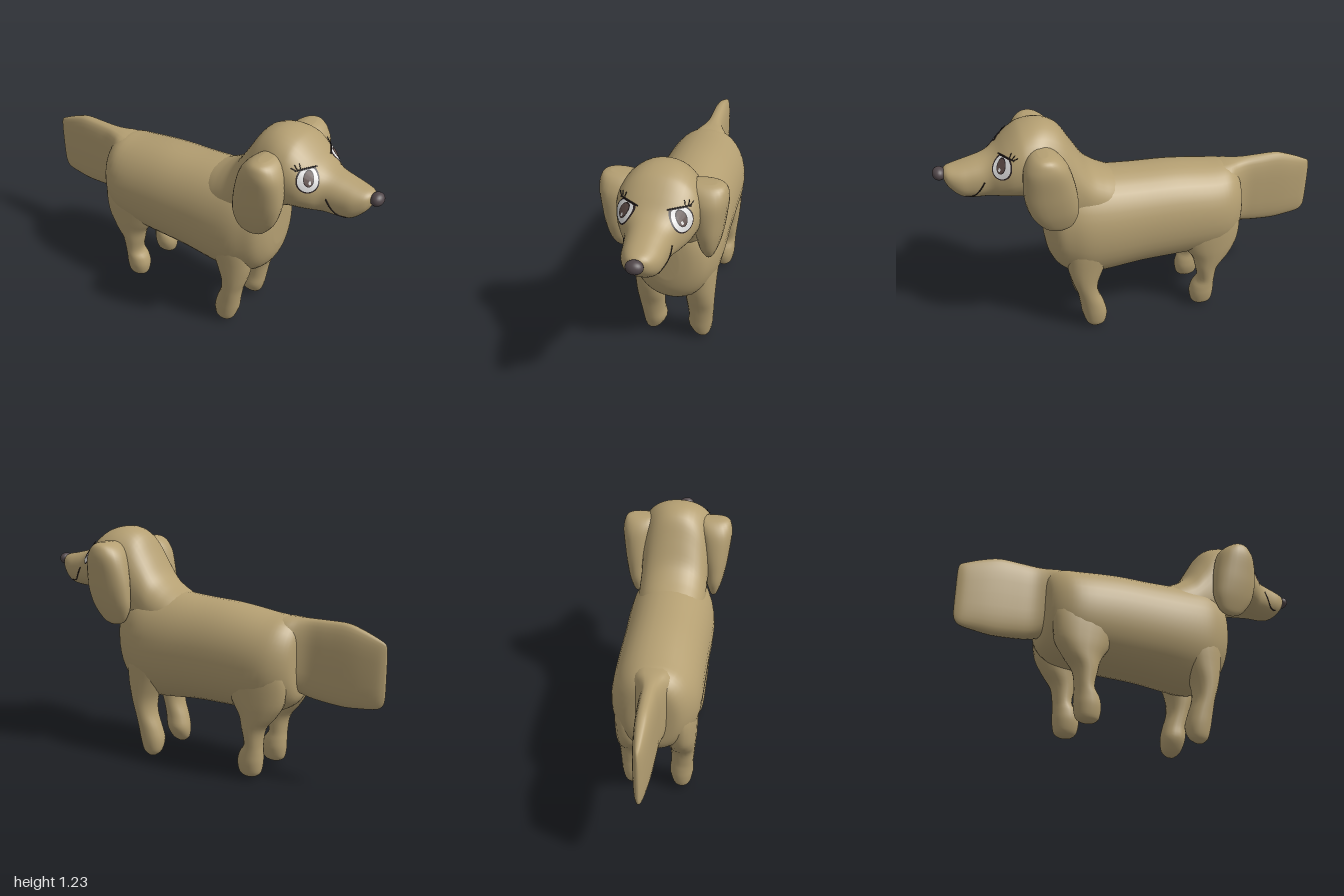
import * as THREE from 'three';

const mat = (name, color, side = THREE.FrontSide) => {
  const m = new THREE.MeshStandardMaterial({ color, side });
  m.name = name;
  return m;
};

// Catmull-Rom interpolation of whole section rows
function refine(rows, steps) {
  const out = [];
  const at = i => rows[Math.max(0, Math.min(rows.length - 1, i))];
  for (let i = 0; i < rows.length - 1; i++) {
    for (let k = 0; k < steps; k++) {
      const t = k / steps;
      out.push(rows[i].map((p1, c) => {
        const p0 = at(i - 1)[c], p2 = at(i + 1)[c], p3 = at(i + 2)[c];
        return 0.5 * (2 * p1 + (p2 - p0) * t + (2 * p0 - 5 * p1 + 4 * p2 - p3) * t * t
          + (3 * p1 - p0 - 3 * p2 + p3) * t * t * t);
      }));
    }
  }
  out.push(rows[rows.length - 1]);
  return out;
}

// Closed skin over superellipse sections.
// axis 'x': rows are [x, y0, y1, z0, z1]; axis 'y': rows are [y, z0, z1, x0, x1]
function loft(axis, rows, power = 1, sides = 28, steps = 4) {
  const secs = refine(rows, steps), pos = [], idx = [];
  const put = (t, a, b) => (axis === 'x' ? pos.push(t, a, b) : pos.push(b, t, a));
  const bend = v => Math.sign(v) * Math.abs(v) ** power;
  for (const [t, a0, a1, b0, b1] of secs) {
    for (let j = 0; j < sides; j++) {
      const q = (j / sides) * Math.PI * 2;
      put(t, (a0 + a1) / 2 + bend(Math.cos(q)) * (a1 - a0) / 2,
        (b0 + b1) / 2 + bend(Math.sin(q)) * (b1 - b0) / 2);
    }
  }
  const n = secs.length;
  for (let i = 0; i < n - 1; i++) {
    for (let j = 0; j < sides; j++) {
      const a = i * sides + j, b = i * sides + (j + 1) % sides;
      idx.push(a, b, a + sides, b, b + sides, a + sides);
    }
  }
  // end caps
  for (const [i, flip] of [[0, true], [n - 1, false]]) {
    const [t, a0, a1, b0, b1] = secs[i], c = pos.length / 3;
    put(t, (a0 + a1) / 2, (b0 + b1) / 2);
    for (let j = 0; j < sides; j++) {
      const a = i * sides + j, b = i * sides + (j + 1) % sides;
      if (flip) idx.push(c, b, a); else idx.push(c, a, b);
    }
  }
  const g = new THREE.BufferGeometry();
  g.setAttribute('position', new THREE.Float32BufferAttribute(pos, 3));
  g.setIndex(idx);
  g.computeVertexNormals();
  return g;
}

export function createModel() {
  const model = new THREE.Group();
  const coat = mat('tan coat', 0xb49f72);
  const noseMat = mat('nose brown', 0x51474a);
  const white = mat('eye white', 0xdedede, THREE.DoubleSide);
  const iris = mat('iris brown', 0x5c4a46, THREE.DoubleSide);
  const ink = mat('dark line', 0x2b2222, THREE.DoubleSide);
  const add = (name, geo, m) => {
    const mesh = new THREE.Mesh(geo, m);
    mesh.name = name;
    model.add(mesh);
    return mesh;
  };
  // rows symmetric about z = 0: [x, y0, y1, half width]
  const sym = rows => rows.map(([x, a, b, w]) => [x, a, b, -w, w]);
  // rows for one side: [y, x0, x1, z inner, z outer]
  const sided = (rows, s) => rows.map(([y, x0, x1, zi, zo]) =>
    (s > 0 ? [y, zi, zo, x0, x1] : [y, -zo, -zi, x0, x1]));

  // Long trunk with rounded rump and chest
  add('body', loft('x', sym([
    [-0.57, 0.5, 0.7, 0.05], [-0.56, 0.42, 0.78, 0.13], [-0.5, 0.365, 0.832, 0.19],
    [-0.4, 0.34, 0.846, 0.222], [-0.2, 0.337, 0.875, 0.228], [0, 0.335, 0.888, 0.23],
    [0.18, 0.32, 0.905, 0.235], [0.3, 0.315, 0.92, 0.23], [0.38, 0.345, 0.92, 0.207],
    [0.44, 0.4, 0.9, 0.178], [0.475, 0.47, 0.85, 0.125], [0.488, 0.55, 0.76, 0.06],
  ]), 0.94, 36), coat);

  // Neck, skull and muzzle in one skin
  const head = add('head', loft('x', sym([
    [0.04, 0.65, 0.865, 0.12], [0.14, 0.6, 0.905, 0.17], [0.2, 0.6, 0.937, 0.18],
    [0.26, 0.6, 0.988, 0.182], [0.32, 0.6, 1.085, 0.18], [0.38, 0.62, 1.183, 0.183],
    [0.44, 0.7, 1.222, 0.19], [0.5, 0.795, 1.231, 0.197], [0.56, 0.85, 1.22, 0.197],
    [0.6, 0.866, 1.2, 0.192], [0.65, 0.873, 1.16, 0.176], [0.7, 0.877, 1.115, 0.146],
    [0.75, 0.878, 1.09, 0.113], [0.82, 0.88, 1.073, 0.099], [0.88, 0.895, 1.06, 0.088],
    [0.93, 0.945, 1.05, 0.06], [0.95, 0.985, 1.035, 0.03],
  ]), 0.9, 40), coat);

  const nose = add('nose', new THREE.SphereGeometry(1, 24, 16), noseMat);
  nose.scale.set(0.032, 0.032, 0.04);
  nose.position.set(0.968, 1.02, 0);

  // Flat paddle tail, flaring into the rump
  add('tail', loft('x', sym([
    [-1, 0.5, 0.72, 0.004], [-0.992, 0.46, 0.755, 0.012], [-0.96, 0.435, 0.775, 0.025],
    [-0.88, 0.425, 0.81, 0.038], [-0.8, 0.42, 0.835, 0.045], [-0.7, 0.428, 0.838, 0.05],
    [-0.62, 0.44, 0.838, 0.055], [-0.56, 0.46, 0.838, 0.078], [-0.5, 0.48, 0.838, 0.115],
    [-0.4, 0.5, 0.835, 0.13],
  ]), 0.7), coat);

  const ray = new THREE.Raycaster();
  head.updateMatrixWorld();

  for (const s of [1, -1]) {
    const side = s > 0 ? 'right' : 'left';
    const label = s > 0 ? 'Right' : 'Left';

    add('frontLeg' + label, loft('y', sided([
      [0.002, 0.24, 0.28, 0.13, 0.155], [0.03, 0.208, 0.312, 0.095, 0.178],
      [0.09, 0.198, 0.332, 0.062, 0.19], [0.16, 0.215, 0.342, 0.065, 0.196],
      [0.24, 0.243, 0.355, 0.062, 0.203], [0.32, 0.24, 0.38, 0.055, 0.208],
      [0.42, 0.2, 0.4, 0.05, 0.213], [0.55, 0.16, 0.4, 0.06, 0.218],
      [0.68, 0.2, 0.37, 0.08, 0.2],
    ], s), 0.95, 20), coat);

    add('hindLeg' + label, loft('y', sided([
      [0.015, -0.385, -0.32, 0.11, 0.155], [0.035, -0.41, -0.295, 0.085, 0.175],
      [0.09, -0.42, -0.284, 0.068, 0.188], [0.14, -0.42, -0.296, 0.068, 0.19],
      [0.19, -0.42, -0.325, 0.075, 0.19], [0.27, -0.435, -0.31, 0.07, 0.197],
      [0.34, -0.49, -0.29, 0.06, 0.203], [0.42, -0.535, -0.24, 0.05, 0.208],
      [0.55, -0.545, -0.2, 0.06, 0.208], [0.68, -0.5, -0.25, 0.08, 0.19],
    ], s), 0.95, 20), coat);

    // Hanging ear flap
    add('ear' + label, loft('y', sided([
      [0.728, 0.415, 0.47, 0.198, 0.222], [0.75, 0.375, 0.515, 0.188, 0.236],
      [0.82, 0.345, 0.57, 0.165, 0.26], [0.9, 0.345, 0.597, 0.15, 0.277],
      [0.98, 0.355, 0.604, 0.135, 0.288], [1.07, 0.378, 0.598, 0.12, 0.298],
      [1.12, 0.405, 0.578, 0.11, 0.293], [1.15, 0.44, 0.55, 0.11, 0.277],
      [1.162, 0.475, 0.52, 0.13, 0.24],
    ], s), 0.88, 24), coat);

    // Drop a point onto the head surface, lifted by a small amount
    const cast = (origin, dir, lift) => {
      ray.set(origin, dir);
      const hit = ray.intersectObject(head)[0];
      return (hit ? hit.point : origin.clone().addScaledVector(dir, 0.3)).addScaledVector(dir, -lift);
    };
    const n = new THREE.Vector3(0.64, 0, 0.77 * s).normalize();
    const u = new THREE.Vector3(0.77, 0, -0.64 * s).normalize();
    const back = n.clone().negate();
    // a runs towards the nose, b runs up
    const onEye = (a, b, lift) => cast(new THREE.Vector3(0.68, 1.078 + b, 0.13 * s)
      .addScaledVector(n, 0.3).addScaledVector(u, a), back, lift);

    // Eye layers, flattened under the upper lid
    const disc = (name, a, b, ra, rb, lift, lid, m) => {
      const g = new THREE.RingGeometry(0.001, 1, 28, 5), p = g.attributes.position;
      for (let i = 0; i < p.count; i++) {
        const q = onEye(a + p.getX(i) * ra, Math.min(b + p.getY(i) * rb, lid), lift);
        p.setXYZ(i, q.x, q.y, q.z);
      }
      g.computeVertexNormals();
      add(`${side} ${name}`, g, m);
    };
    disc('eye outline', 0, 0, 0.056, 0.057, 0.002, 0.047, ink);
    disc('eye white', 0, 0, 0.049, 0.05, 0.004, 0.041, white);
    disc('iris outline', 0.004, 0.007, 0.026, 0.034, 0.0055, 0.041, ink);
    disc('iris', 0.004, 0.007, 0.022, 0.03, 0.007, 0.041, iris);
    disc('eye highlight', 0.009, -0.008, 0.006, 0.008, 0.0085, 0.041, white);

    const line = (name, pts, r) =>
      add(`${side} ${name}`, new THREE.TubeGeometry(new THREE.CatmullRomCurve3(pts), 14, r, 6), ink);

    // Upper lid and lashes
    line('upper lid', [[-0.058, 0.04], [-0.03, 0.045], [0.01, 0.046], [0.048, 0.042]]
      .map(([a, b]) => onEye(a, b, 0.003)), 0.003);
    for (const [a, da, db] of [[-0.055, -0.022, 0.012], [-0.045, -0.014, 0.022], [-0.03, -0.006, 0.026]]) {
      line('lash', [0, 0.5, 1].map(t => onEye(a + da * t, 0.043 + db * t, 0.003 + 0.006 * t)), 0.002);
    }

    // Smile line along the muzzle
    const inward = new THREE.Vector3(0, 0, -s);
    line('mouth', [[0.767, 0.997], [0.79, 0.958], [0.818, 0.922], [0.838, 0.913], [0.862, 0.914]]
      .map(([x, y]) => cast(new THREE.Vector3(x, y, 0.4 * s), inward, 0.001)), 0.003);
  }
  return model;
}
